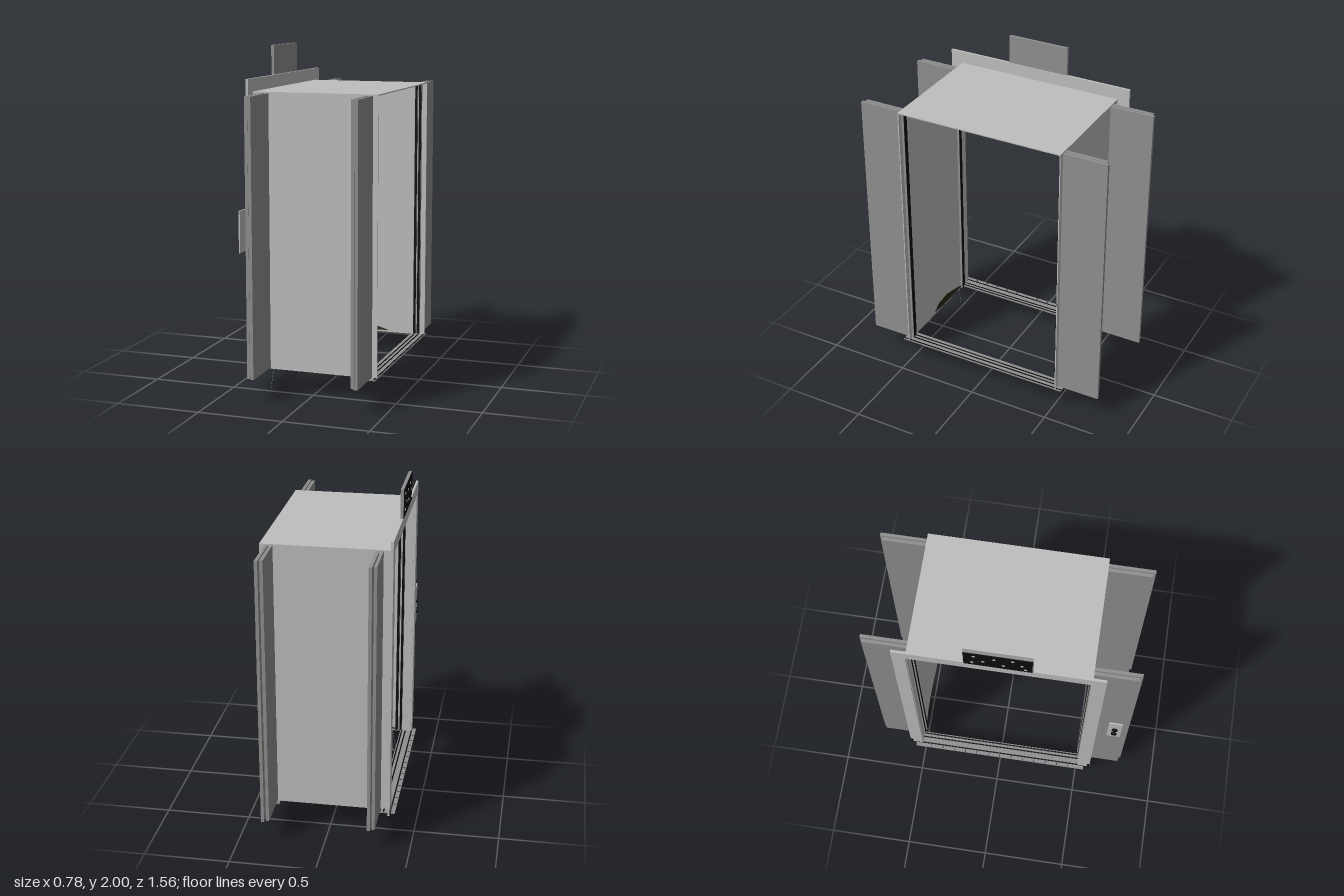
import * as THREE from 'three';

const mat = (name, color, side = THREE.FrontSide) => {
  const m = new THREE.MeshStandardMaterial({ color, side });
  m.name = name;
  return m;
};

export function createModel() {
  const group = new THREE.Group();
  const light = mat('lightSteel', 0xbebebe);
  const steel = mat('steel', 0x8f8f8f);
  const black = mat('black', 0x0c0c0c);
  const olive = mat('darkOlive', 0x2b2b1a, THREE.DoubleSide);

  const add = (name, geometry, material) => {
    const mesh = new THREE.Mesh(geometry, material);
    mesh.name = name;
    group.add(mesh);
    return mesh;
  };
  // box given by its low and high limits on each axis
  const box = (name, material, x0, x1, y0, y1, z0, z1) =>
    add(name, new THREE.BoxGeometry(x1 - x0, y1 - y0, Math.abs(z1 - z0)), material)
      .position.set((x0 + x1) / 2, (y0 + y1) / 2, (z0 + z1) / 2);

  // cabin shell, open at both x ends and without a floor
  box('ceiling', light, -0.355, 0.39, 1.745, 1.752, -0.515, 0.515);
  for (const s of [-1, 1]) {
    box('sideWall', light, -0.355, 0.39, 0.14, 1.746, s * 0.509, s * 0.515);
  }

  // open sliding doors: two staggered leaves at each corner, dark seal on the leading edge
  const leaves = [
    [-0.302, -0.284, 0.503, 0.765],
    [-0.277, -0.258, 0.495, 0.78],
    [0.315, 0.334, 0.503, 0.765],
    [0.341, 0.36, 0.495, 0.78],
  ];
  for (const s of [-1, 1]) {
    for (const [x0, x1, z0, z1] of leaves) {
      box('doorLeaf', steel, x0, x1, 0.146, 1.745, s * z0, s * z1);
      box('doorSeal', black, x0 + 0.002, x1 - 0.002, 0.15, 1.742, s * (z0 - 0.002), s * z0);
    }
  }

  // sills with dark guide grooves
  const sills = [
    { x0: -0.39, x1: -0.29, grooves: [-0.363, -0.323, -0.3] },
    { x0: 0.3, x1: 0.39, grooves: [0.325, 0.35, 0.382] },
  ];
  for (const { x0, x1, grooves } of sills) {
    box('sill', steel, x0, x1, 0.135, 0.143, -0.55, 0.55);
    for (const x of grooves) {
      box('sillGroove', black, x - 0.004, x + 0.004, 0.143, 0.1445, -0.548, 0.548);
    }
  }
  for (let i = -6; i <= 6; i++) {
    const z = i * 0.075;
    box('sillMark', black, -0.386, -0.372, 0.143, 0.1445, z - 0.002, z + 0.002);
  }

  // landing door frame
  box('frameHeader', light, -0.365, -0.351, 1.752, 1.826, -0.588, 0.588);
  for (const s of [-1, 1]) {
    box('frameJamb', light, -0.365, -0.351, 0.14, 1.752, s * 0.512, s * 0.588);
    box('jambFoot', black, -0.367, -0.365, 0.143, 0.2, s * 0.572, s * 0.586);
  }

  // indicator plate above the frame, dark face with small light studs
  box('indicatorPlate', steel, -0.368, -0.35, 1.828, 2, -0.19, 0.19);
  box('indicatorFace', black, -0.371, -0.368, 1.832, 1.996, -0.186, 0.186);
  for (const [y, z] of [[1.96, -0.13], [1.9, -0.08], [1.95, -0.02], [1.87, -0.14],
    [1.88, 0.03], [1.96, 0.08], [1.91, 0.13], [1.86, 0.15]]) {
    const stud = add('indicatorStud', new THREE.CylinderGeometry(0.009, 0.009, 0.003, 12), light);
    stud.rotation.z = Math.PI / 2;
    stud.position.set(-0.372, y, z);
  }

  // call button panel beside the frame
  box('callPanel', light, -0.358, -0.35, 0.86, 1.1, 0.65, 0.73);
  for (const y of [0.93, 1.0]) {
    const button = add('callButton', new THREE.CylinderGeometry(0.017, 0.017, 0.012, 16), black);
    button.rotation.z = Math.PI / 2;
    button.position.set(-0.363, y, 0.69);
  }

  // dark scuff patches low on the inner walls
  for (const s of [-1, 1]) {
    const patch = new THREE.Shape([
      [-0.18, 0.01], [-0.13, 0.05], [-0.02, 0.06], [0.1, 0.03],
      [0.18, 0.005], [0.06, 0.0], [-0.08, 0.0],
    ].map(([x, y]) => new THREE.Vector2(-s * x, y)));
    add('scuffPatch', new THREE.ShapeGeometry(patch), olive)
      .position.set(s < 0 ? -0.03 : -0.1, 0.148, s * 0.507);
  }

  // hair-thin wire hanging below the front wall
  const wire = new THREE.LineCurve3(new THREE.Vector3(-0.24, 0.14, 0.512), new THREE.Vector3(-0.262, 0, 0.512));
  add('hangingWire', new THREE.TubeGeometry(wire, 1, 0.001, 5), steel);

  return group;
}
